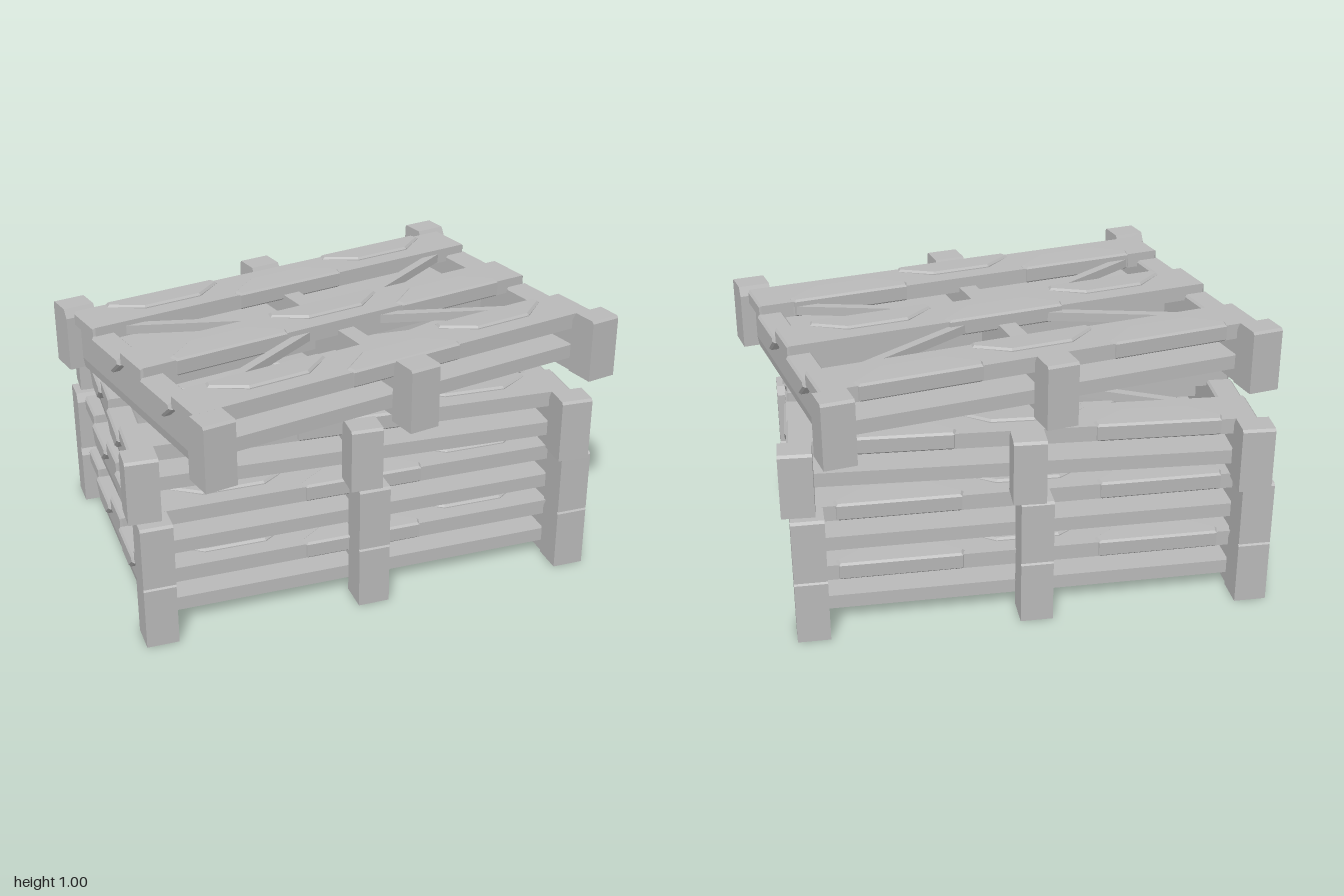
import * as THREE from 'three';

const wood = new THREE.MeshStandardMaterial({ color: 0xb8b8b8 });
wood.name = 'greyWood';

function add(parent, name, geometry, x = 0, y = 0, z = 0) {
  const mesh = new THREE.Mesh(geometry, wood);
  mesh.name = name;
  mesh.position.set(x, y, z);
  parent.add(mesh);
  return mesh;
}

// Extruded polygon centred on its depth, with an optional small bevel
function prism(points, depth, bevel = 0) {
  const shape = new THREE.Shape(points.map(([x, y]) => new THREE.Vector2(x, y)));
  const length = depth - 2 * bevel;
  const geometry = new THREE.ExtrudeGeometry(shape, {
    depth: length, bevelEnabled: bevel > 0, bevelSize: bevel,
    bevelThickness: bevel, bevelOffset: -bevel, bevelSegments: 1,
  });
  return geometry.translate(0, 0, -length / 2);
}

const rect = (w, h) => [[-w / 2, -h / 2], [w / 2, -h / 2], [w / 2, h / 2], [-w / 2, h / 2]];
// Trapezoid with its wide side on top
const worn = (wide, narrow, h) => [[-narrow / 2, -h], [narrow / 2, -h], [wide / 2, -h * 0.3],
  [wide / 2 - 0.01, 0], [-wide / 2 + 0.01, 0], [-wide / 2, -h * 0.3]];

// Shared shapes of one pallet
const plankShape = prism(rect(0.19, 0.06), 1.72, 0.008).rotateY(Math.PI / 2);
// The lump leans so that its inner edge sinks into the plank
const plankLump = prism(worn(0.48, 0.24, 0.125), 0.07, 0.008).rotateX(-Math.PI / 2 - 0.04);
const beamLump = prism(worn(0.25, 0.11, 0.08), 0.1, 0.008).rotateY(Math.PI / 2);
// Post with a chamfered top, the larger chamfer facing the planks
const postShape = prism([[-0.061, 0], [0.061, 0], [0.061, 0.24], [0.053, 0.25],
  [-0.042, 0.25], [-0.061, 0.215]], 0.122).rotateY(-Math.PI / 2);
const sideBeam = prism([[-0.03, 0], [0.024, 0], [0.03, 0.04], [0.03, 0.2], [-0.03, 0.2]], 1.04);
const middleBeam = prism(rect(0.07, 0.2), 1.04);
const floorBoard = prism(rect(0.44, 0.055), 1.6, 0.004).rotateY(Math.PI / 2);

function pallet() {
  const group = new THREE.Group();

  // Six corner and middle posts
  for (const x of [-0.83, 0, 0.83])
    for (const side of [-1, 1])
      add(group, 'post', postShape, x, 0, side * 0.575).rotation.y = side < 0 ? Math.PI : 0;

  // Beams running front to back, with worn lumps on the outer ones
  add(group, 'middleBeam', middleBeam, 0, 0.1, 0);
  for (const side of [-1, 1]) {
    add(group, 'sideBeam', sideBeam, side * 0.805).rotation.y = side < 0 ? Math.PI : 0;
    for (const z of [-0.213, 0.213]) add(group, 'beamLump', beamLump, side * 0.82, 0.205, z);
  }

  // Two wide floor boards
  for (const z of [-0.295, 0.295]) add(group, 'floorBoard', floorBoard, 0, 0.083, z);

  // Three deck planks with alternating lumps along their edges
  [-0.42, 0, 0.42].forEach((z, i) => {
    add(group, 'deckPlank', plankShape, 0, 0.21, z);
    [-0.49, 0, 0.49].forEach((x, j) => {
      const edge = (i + j) % 2 === 0 ? -1 : 1;
      const lump = add(group, 'plankLump', plankLump, x, 0.212, z + edge * 0.101);
      lump.rotation.y = edge > 0 ? Math.PI : 0;
    });
  });

  // Thin diagonal cross braces
  const span = Math.hypot(1.56, 0.74);
  for (const side of [-1, 1]) {
    const brace = add(group, 'crossBrace', new THREE.BoxGeometry(span, 0.035, 0.035), 0, 0.203, 0);
    brace.rotation.y = side * Math.atan2(0.74, 1.56);
  }
  return group;
}

export function createModel() {
  const model = new THREE.Group();
  model.name = 'palletStack';
  // x, z and turn of each pallet, from the bottom up
  const layers = [[-0.03, -0.075, 0], [-0.03, -0.075, 0], [-0.03, -0.08, -0.048], [0, 0, 0.213]];
  layers.forEach(([x, z, turn], i) => {
    const layer = pallet();
    layer.name = 'pallet' + (i + 1);
    layer.position.set(x, i * 0.25, z);
    layer.rotation.y = turn;
    model.add(layer);
  });
  return model;
}
